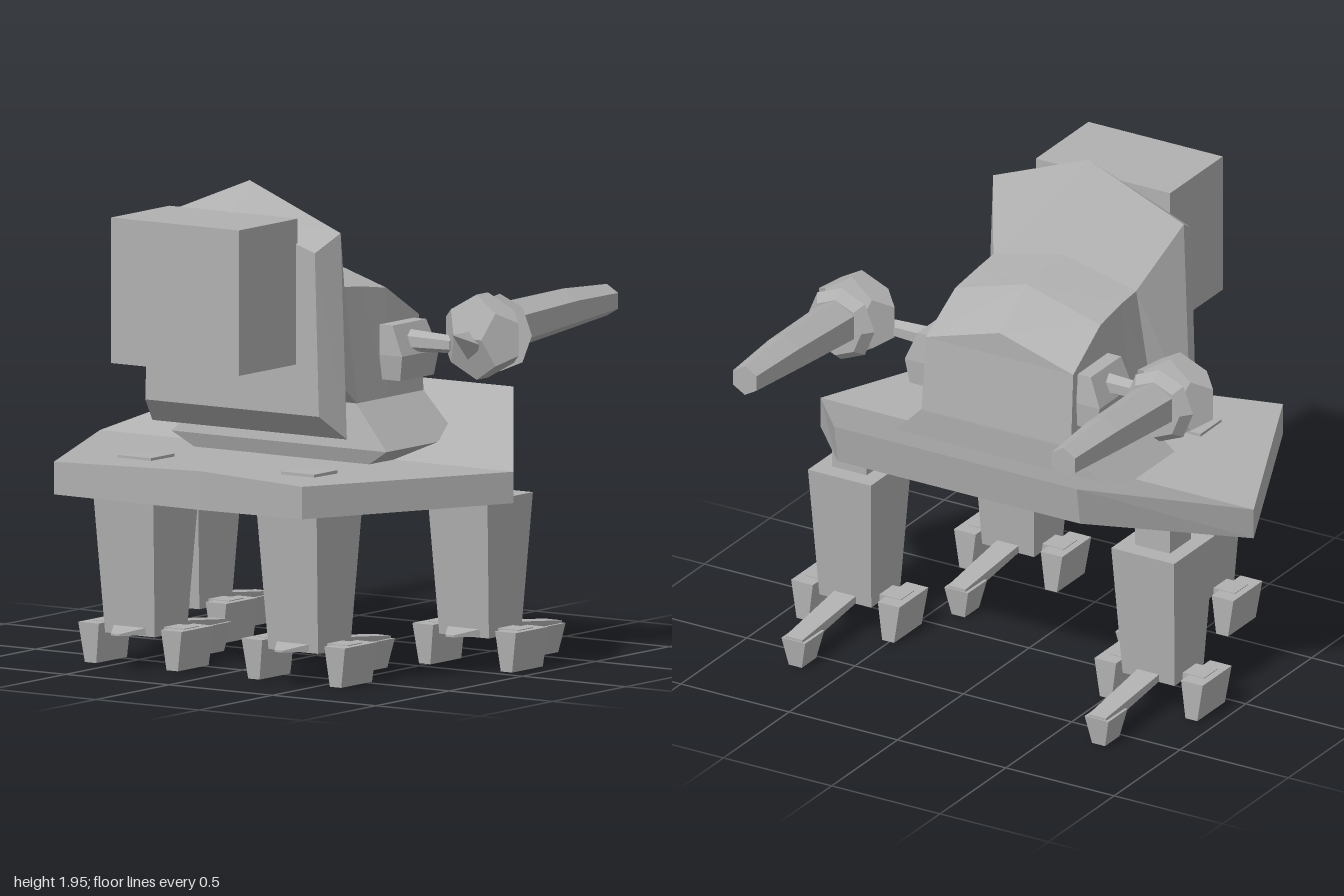
import * as THREE from 'three';

const grey = new THREE.MeshStandardMaterial({ color: 0xb0b0b0, flatShading: true });
grey.name = 'plain grey';

function part(name, geometry, parent) {
  const mesh = new THREE.Mesh(geometry, grey);
  mesh.name = name;
  parent.add(mesh);
  return mesh;
}

function group(name, parent) {
  const g = new THREE.Group();
  g.name = name;
  parent.add(g);
  return g;
}

// Joins equal-length rings of [x, y, z] points into a closed faceted solid
function loft(rings) {
  const n = rings[0].length;
  const pts = rings.flat().map((p) => new THREE.Vector3(...p));
  const faces = [];
  for (let r = 0; r < rings.length - 1; r++) {
    for (let i = 0; i < n; i++) {
      const a = r * n + i, b = r * n + ((i + 1) % n);
      faces.push([a, b, b + n], [a, b + n, a + n]);
    }
  }
  const last = (rings.length - 1) * n;
  for (let i = 1; i < n - 1; i++) {
    const j = (1 + i) % n, k = (2 + i) % n;
    faces.push([1, k, j], [last + 1, last + j, last + k]);
  }
  // Turn every face outward according to the signed volume
  let volume = 0;
  for (const [a, b, c] of faces) volume += pts[a].dot(pts[b].clone().cross(pts[c]));
  if (volume < 0) faces.forEach((f) => f.reverse());
  const geometry = new THREE.BufferGeometry().setFromPoints(faces.flat().map((i) => pts[i]));
  geometry.computeVertexNormals();
  return geometry;
}

// Horizontal rectangle ring
const rect = (y, x0, x1, z0, z1) => [[x0, y, z0], [x1, y, z0], [x1, y, z1], [x0, y, z1]];

// Gabled ring of the hull: ridge, eaves and bottom, each with its own x
const gable = ([rx, ry], [ex, ey, ez], [bx, by, bz]) => [
  [rx, ry, 0], [ex, ey, ez], [bx, by, bz], [bx, by, -bz], [ex, ey, -ez],
];

// Deck ring: upper and lower edge, with a middle point on each
const deckRing = (xt, xb, z, yt, yb, xm, xmb, ytm, ybm) => [
  [xt, yt, -z], [xm, ytm, 0], [xt, yt, z], [xb, yb, z], [xmb, ybm, 0], [xb, yb, -z],
];

function addLeg(parent, name, x, z, capTop) {
  const leg = group(name, parent);
  leg.position.set(x, 0, z);
  part('legColumn', loft([
    rect(0.14, -0.11, 0.11, -0.12, 0.12),
    rect(0.695, -0.155, 0.155, -0.145, 0.145),
  ]), leg);
  part('legNeck', loft([
    rect(0.68, -0.08, 0.08, -0.08, 0.08),
    rect(capTop, -0.08, 0.08, -0.08, 0.08),
  ]), leg);
  // Side toes with wedge claws
  for (const s of [-1, 1]) {
    part('sideToe', loft([
      rect(0.14, -0.05, 0.05, s * 0.1, s * 0.22),
      rect(0.175, -0.05, 0.05, s * 0.1, s * 0.22),
    ]), leg);
    part('sideClaw', loft([
      rect(0.012, -0.1, 0.11, s * 0.17, s * 0.225),
      rect(0.172, -0.11, 0.11, s * 0.15, s * 0.25),
    ]), leg);
  }
  // Long front toe sloping to a hanging claw
  part('frontToe', loft([
    [[0.1, 0.145, -0.05], [0.1, 0.175, -0.05], [0.1, 0.175, 0.05], [0.1, 0.145, 0.05]],
    [[0.5, 0.09, -0.04], [0.5, 0.135, -0.04], [0.5, 0.135, 0.04], [0.5, 0.09, 0.04]],
  ]), leg);
  part('frontClaw', loft([
    rect(0.008, 0.38, 0.49, -0.03, 0.03),
    rect(0.125, 0.36, 0.505, -0.055, 0.055),
  ]), leg);
  // Heel spike
  part('heel', loft([
    [[-0.09, 0.145, -0.09], [-0.09, 0.178, -0.09], [-0.09, 0.178, 0.09], [-0.09, 0.145, 0.09]],
    [[-0.21, 0.148, -0.02], [-0.21, 0.156, -0.02], [-0.21, 0.156, 0.02], [-0.21, 0.148, 0.02]],
  ]), leg);
}

function addGun(parent, name, s) {
  const gun = group(name, parent);
  // Mounting block and arm on the hull side
  part('mountBlock', loft([
    rect(1.14, -0.03, 0.2, s * 0.33, s * 0.43),
    rect(1.24, -0.045, 0.205, s * 0.33, s * 0.45),
    rect(1.36, -0.04, 0.19, s * 0.33, s * 0.40),
  ]), gun);
  const arm = part('mountArm', new THREE.CylinderGeometry(0.035, 0.045, 0.22, 6), gun);
  arm.position.set(0.07, 1.29, s * 0.51);
  arm.rotation.x = s * Math.PI / 2;

  const pod = group('gunPod', gun);
  pod.position.set(0, 1.33, s * 0.735);
  const ball = part('gunBall', new THREE.DodecahedronGeometry(1, 0), pod);
  ball.scale.set(0.108, 0.182, 0.187);
  ball.position.x = 0.1;
  const collar = part('gunCollar', new THREE.CylinderGeometry(0.12, 0.155, 0.045, 8), pod);
  collar.rotation.z = -Math.PI / 2;
  collar.position.x = 0.242;
  const neck = part('gunNeck', new THREE.CylinderGeometry(0.09, 0.09, 0.1, 6), pod);
  neck.rotation.z = -Math.PI / 2;
  neck.position.x = 0.2;
  // Tapered six-sided barrel
  const hex = (x, y, r) => Array.from({ length: 6 }, (_, i) => {
    const a = i * Math.PI / 3 + Math.PI / 6;
    return [x, y + r * Math.sin(a), r * Math.cos(a)];
  });
  part('gunBarrel', loft([hex(0.25, 0.02, 0.1), hex(0.65, 0.04, 0.085), hex(0.95, 0.045, 0.063)]), pod);
  const spike = part('rearSpike', new THREE.ConeGeometry(0.06, 0.14, 4), pod);
  spike.rotation.z = Math.PI / 2 - 0.4;
  spike.position.set(-0.04, 0.0, 0);
}

export function createModel() {
  const model = new THREE.Group();
  model.name = 'walkingGunPlatform';

  // Six-cornered deck, folded up at the front and notched at the back
  part('deck', loft([
    deckRing(-0.94, -0.94, 0.6, 0.84, 0.71, -0.79, -0.79, 0.835, 0.68),
    deckRing(-0.06, -0.06, 1.0, 0.83, 0.705, -0.06, -0.06, 0.83, 0.68),
    deckRing(0.56, 0.535, 0.56, 1.06, 0.9, 0.56, 0.535, 1.06, 0.9),
  ]), model);

  // Hull: flared collar at the back running into the gabled cabin
  const hull = group('hull', model);
  part('cabin', loft([
    gable([-0.57, 1.84], [-0.57, 1.71, 0.4], [-0.57, 1.06, 0.42]),
    gable([-0.45, 1.955], [-0.45, 1.78, 0.44], [-0.45, 0.96, 0.47]),
    gable([-0.25, 1.625], [-0.27, 1.535, 0.33], [-0.33, 1.16, 0.35]),
    gable([-0.15, 1.615], [-0.16, 1.525, 0.33], [-0.2, 1.06, 0.345]),
    gable([0.02, 1.6], [0.01, 1.5, 0.335], [0.0, 1.06, 0.345]),
    gable([0.225, 1.47], [0.225, 1.37, 0.34], [0.25, 1.06, 0.345]),
  ]), hull);
  part('skirt', loft([
    rect(0.83, -0.23, 0.2, -0.42, 0.42),
    rect(0.89, -0.25, 0.24, -0.52, 0.52),
    rect(1.065, -0.21, 0.25, -0.345, 0.345),
  ]), hull);
  const box = part('rearBox', new THREE.BoxGeometry(0.4, 0.58, 0.62), hull);
  box.position.set(-0.76, 1.55, 0);

  for (const [side, s] of [['near', 1], ['far', -1]]) {
    addGun(model, side + 'Gun', s);
    addLeg(model, side + 'FrontLeg', 0.135, s * 0.7, 0.87);
    addLeg(model, side + 'RearLeg', -0.6, s * 0.395, 0.847);
  }
  return model;
}
